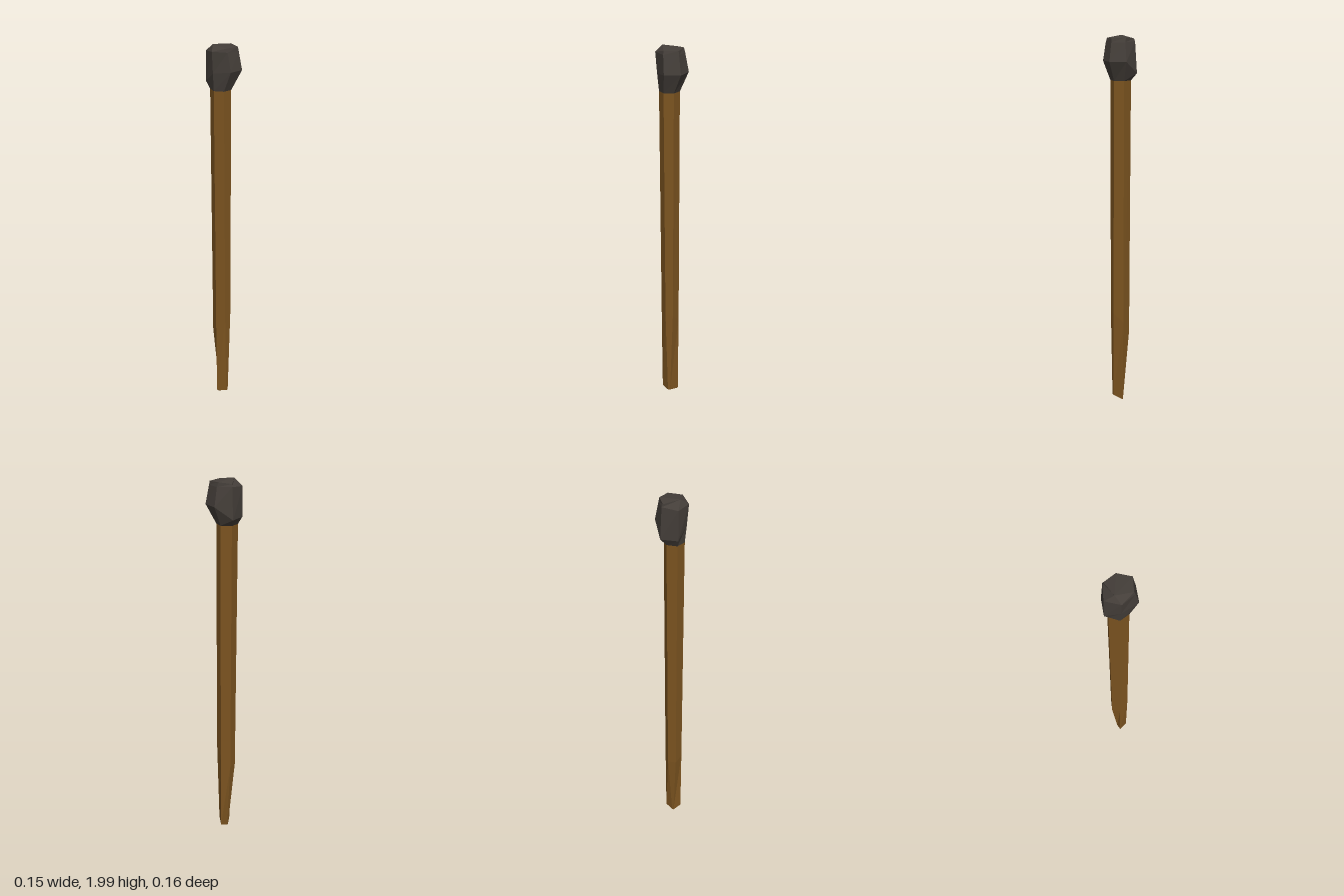
import * as THREE from 'three';

// Faceted solid through six-point rings, listed bottom to top.
// Point order: front, left front, left back, back, right back, right front.
function loft(rings, material, name) {
  const pos = [];
  const tri = (a, b, c) => pos.push(...a, ...b, ...c);
  for (let r = 0; r < rings.length - 1; r++) {
    const lo = rings[r], hi = rings[r + 1];
    for (let i = 0; i < 6; i++) {
      const j = (i + 1) % 6;
      tri(lo[i], lo[j], hi[j]);
      tri(lo[i], hi[j], hi[i]);
    }
  }
  const bottom = rings[0], top = rings[rings.length - 1];
  for (let i = 1; i < 5; i++) {
    tri(bottom[0], bottom[i + 1], bottom[i]);
    tri(top[0], top[i], top[i + 1]);
  }
  const geometry = new THREE.BufferGeometry();
  geometry.setAttribute('position', new THREE.Float32BufferAttribute(pos, 3));
  geometry.computeVertexNormals();
  const mesh = new THREE.Mesh(geometry, material);
  mesh.name = name;
  return mesh;
}

export function createModel() {
  const wood = new THREE.MeshStandardMaterial({ color: 0x7c5420, flatShading: true });
  wood.name = 'brown wood';
  const char = new THREE.MeshStandardMaterial({ color: 0x443e39, flatShading: true });
  char.name = 'charred grey';

  // Hexagonal collar shared by the top of the shaft and the base of the head
  const collar = (y) => [
    [-0.008, y, 0.062], [0.035, y, 0.037], [0.035, y, -0.012],
    [-0.008, y, -0.038], [-0.055, y, -0.012], [-0.055, y, 0.04],
  ];

  // Shaft: straight, then whittled to a slanted point
  const shaft = [
    [[-0.005, 0.045, 0.053], [0.036, 0.045, 0.02], [0.036, 0.045, 0.008],
      [-0.005, 0.03, -0.034], [-0.02, 0.008, 0.006], [-0.02, 0.008, 0.014]],
    [[-0.006, 0.45, 0.056], [0.039, 0.55, 0.032], [0.039, 0.55, -0.008],
      [-0.006, 0.5, -0.037], [-0.051, 0.43, -0.01], [-0.051, 0.43, 0.035]],
    collar(1.8),
  ];

  // Head: lumpy wrapped block, widest at mid height on the left
  const head = [
    collar(1.785),
    [[-0.005, 1.87, 0.07], [0.075, 1.88, 0.032], [0.072, 1.88, -0.047],
      [-0.003, 1.88, -0.08], [-0.077, 1.82, -0.035], [-0.074, 1.82, 0.048]],
    [[-0.003, 1.972, 0.078], [0.058, 1.97, 0.036], [0.058, 1.97, -0.037],
      [-0.004, 1.97, -0.062], [-0.068, 1.972, -0.03], [-0.073, 1.965, 0.048]],
    [[-0.028, 2.0, 0.046], [0.052, 1.988, 0.035], [0.055, 1.988, -0.035],
      [-0.01, 1.992, -0.056], [-0.065, 1.985, -0.025], [-0.028, 2.0, 0.046]],
  ];

  const group = new THREE.Group();
  group.name = 'torch';
  group.add(loft(shaft, wood, 'shaft'), loft(head, char, 'head'));
  return group;
}
